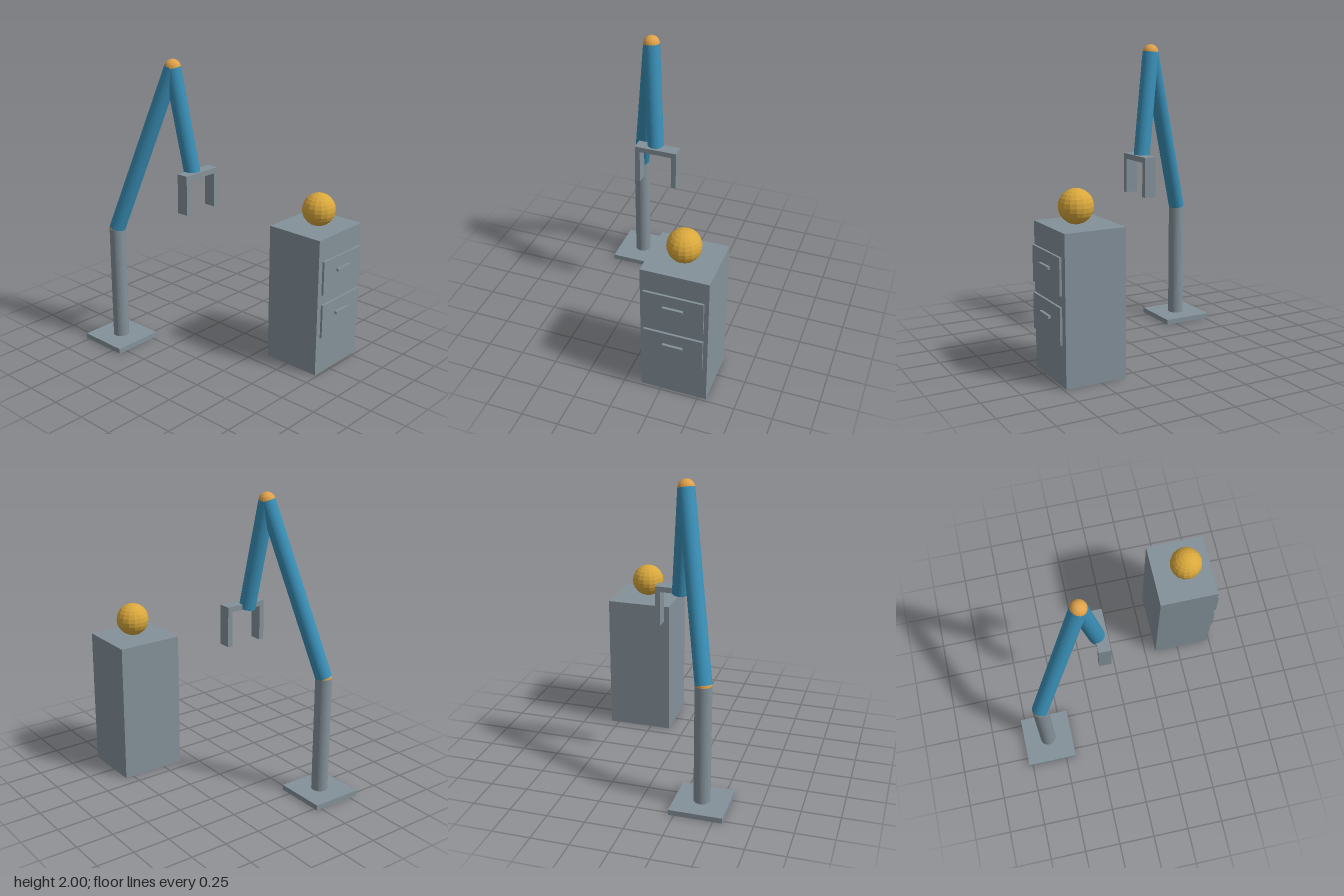
import * as THREE from 'three';

const mat = (name, color) => {
  const m = new THREE.MeshStandardMaterial({ color, flatShading: true });
  m.name = name;
  return m;
};

export function createModel() {
  const grey = mat('steel grey', 0x84919a);
  const blue = mat('arm blue', 0x3a90b8);
  const orange = mat('joint orange', 0xe0a24a);
  const gold = mat('ball gold', 0xdaa83c);

  const model = new THREE.Group();
  model.name = 'robotArmAndCabinet';

  const group = (name) => {
    const g = new THREE.Group();
    g.name = name;
    model.add(g);
    return g;
  };
  const add = (parent, name, geometry, material, x, y, z) => {
    const mesh = new THREE.Mesh(geometry, material);
    mesh.name = name;
    mesh.position.set(x, y, z);
    parent.add(mesh);
    return mesh;
  };
  // Box given by its lower and upper corner
  const box = (parent, name, material, [x0, y0, z0], [x1, y1, z1]) =>
    add(parent, name, new THREE.BoxGeometry(x1 - x0, y1 - y0, z1 - z0), material,
      (x0 + x1) / 2, (y0 + y1) / 2, (z0 + z1) / 2);
  // Round bar between two points
  const bar = (parent, name, material, a, b, radius) => {
    const d = b.clone().sub(a);
    const c = a.clone().add(b).multiplyScalar(0.5);
    const mesh = add(parent, name, new THREE.CylinderGeometry(radius, radius, d.length(), 32), material, c.x, c.y, c.z);
    mesh.quaternion.setFromUnitVectors(new THREE.Vector3(0, 1, 0), d.normalize());
  };

  // Robot arm: plate, column, two links and two ball joints
  const R = 0.054;
  const foot = new THREE.Vector3(-0.387, 0.035, -0.602);
  const shoulder = new THREE.Vector3(-0.387, 0.83, -0.602);
  const elbow = new THREE.Vector3(-0.175, 1.946, -0.257);
  const wrist = new THREE.Vector3(-0.11, 1.236, -0.151);

  const arm = group('robotArm');
  box(arm, 'basePlate', grey, [-0.56, 0, -0.775], [-0.214, 0.035, -0.429]);
  bar(arm, 'column', grey, foot, shoulder, R);
  bar(arm, 'upperArm', blue, shoulder, elbow, R);
  bar(arm, 'forearm', blue, elbow, wrist, R);
  for (const [name, p] of [['shoulderJoint', shoulder], ['elbowJoint', elbow]]) {
    add(arm, name, new THREE.SphereGeometry(R, 16, 12), orange, p.x, p.y, p.z);
  }

  // Gripper: crossbar with two fingers
  const gripper = group('gripper');
  const z0 = -0.167, z1 = -0.085;
  box(gripper, 'palm', grey, [-0.234, 1.234, z0], [0.054, 1.27, z1]);
  box(gripper, 'rightFinger', grey, [-0.234, 1.003, z0], [-0.2, 1.234, z1]);
  box(gripper, 'leftFinger', grey, [0.02, 1.003, z0], [0.054, 1.234, z1]);

  // Cabinet with two drawer fronts
  const cabinet = group('cabinet');
  box(cabinet, 'cabinetBody', grey, [0.112, 0, 0.33], [0.556, 0.946, 0.733]);
  for (const [name, y] of [['upper', 0.57], ['lower', 0.268]]) {
    box(cabinet, name + 'DrawerFront', grey, [0.137, y, 0.742], [0.53, y + 0.232, 0.757]);
    box(cabinet, name + 'DrawerHandle', grey, [0.268, y + 0.132, 0.757], [0.4, y + 0.15, 0.775]);
  }

  // Ball resting on the cabinet
  add(model, 'ball', new THREE.SphereGeometry(0.11, 16, 12), gold, 0.334, 1.056, 0.552);

  return model;
}
